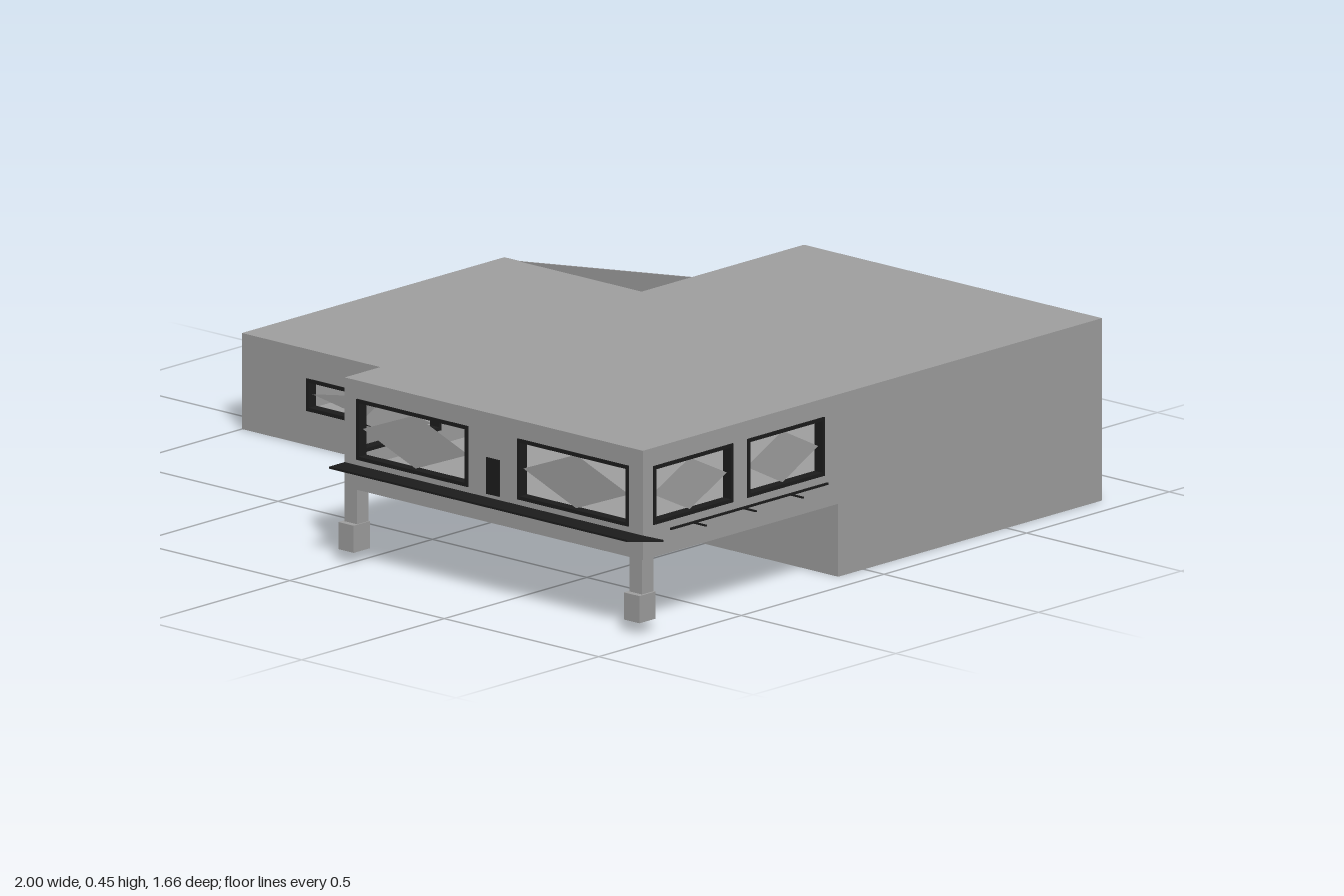
import * as THREE from 'three';

const grey = new THREE.MeshStandardMaterial({ color: 0xa0a0a0, side: THREE.DoubleSide });
grey.name = 'concreteGrey';
const dark = new THREE.MeshStandardMaterial({ color: 0x1c1c1c });
dark.name = 'frameBlack';

const T = 0.02; // wall thickness

export function createModel() {
  const root = new THREE.Group();
  root.name = 'house';

  const add = (parent, name, geo, mat = grey) => {
    const m = new THREE.Mesh(geo, mat);
    m.name = name;
    parent.add(m);
    return m;
  };
  // box given by its limits on each axis
  const box = (name, x0, x1, y0, y1, z0, z1, mat = grey, parent = root) => {
    const m = add(parent, name, new THREE.BoxGeometry(x1 - x0, y1 - y0, z1 - z0), mat);
    m.position.set((x0 + x1) / 2, (y0 + y1) / 2, (z0 + z1) / 2);
    return m;
  };
  const poly = pts => new THREE.Shape(pts.map(p => new THREE.Vector2(p[0], p[1])));
  const rect = (a, b, c, d) => [[a, c], [b, c], [b, d], [a, d]];
  const extrude = (shape, depth) => new THREE.ExtrudeGeometry(shape, { depth, bevelEnabled: false });

  // wall facing outwards with framed windows [u0, u1, y0, y1]; u is world x or z
  function wall(name, side, at, pts, windows = []) {
    const g = new THREE.Group();
    g.name = name;
    const s = side === 'right' || side === 'back' ? -1 : 1;
    g.rotation.y = { front: 0, back: Math.PI, right: Math.PI / 2, left: -Math.PI / 2 }[side];
    if (side === 'front' || side === 'back') g.position.z = at;
    else g.position.x = at;
    const shape = poly(pts.map(([u, v]) => [u * s, v]));
    for (const w of windows) {
      const [a, b] = [w[0] * s, w[1] * s].sort((p, q) => p - q);
      const [c, d] = [w[2], w[3]];
      shape.holes.push(poly(rect(a, b, c, d)));
      // dark frame lining the opening
      const f = 0.009;
      const frame = poly(rect(a, b, c, d));
      frame.holes.push(poly(rect(a + f, b - f, c + f, d - f)));
      add(g, 'windowFrame', extrude(frame, T + 0.006), dark).position.z = -T - 0.003;
      // diamond pane reaching the middle of each side
      const mu = (a + b) / 2, mv = (c + d) / 2;
      const pane = poly([[a + f, mv], [mu, c + f], [b - f, mv], [mu, d - f]]);
      add(g, 'diamondPane', new THREE.ShapeGeometry(pane)).position.z = -T / 2;
    }
    add(g, 'wallPanel', extrude(shape, T)).position.z = -T;
    root.add(g);
  }

  // main block with the storey that juts out to the front
  const X0 = -0.03, X1 = 0.935, ZB = -0.835, ZM = 0.09, ZF = 0.775, H = 0.45, U = 0.18;
  const profile = [[ZB, 0], [ZM, 0], [ZM, U], [ZF, U], [ZF, H], [ZB, H]];
  const sideWindows = [[0.14, 0.41, 0.26, 0.405], [0.46, 0.74, 0.26, 0.405]];
  wall('rightWall', 'right', X1, profile, sideWindows);
  wall('leftWall', 'left', X0, profile, [...sideWindows, [-0.35, -0.1, 0.3, 0.38]]);
  wall('upperFrontWall', 'front', ZF, rect(X0, X1, U, H),
    [[0.01, 0.37, 0.255, 0.405], [0.53, 0.89, 0.255, 0.405]]);
  wall('lowerFrontWall', 'front', ZM, rect(X0, X1, 0, U));
  wall('backWall', 'back', ZB, rect(X0, X1, 0, H));
  box('mainRoof', X0, X1, H - 0.015, H, ZB, ZF);
  box('base', X0, X1, 0, 0.01, ZB, ZM);

  // upper floor with joists beneath
  box('upperFloor', X0, X1, 0.21, 0.225, ZB + T, ZF - T);
  for (const x of [0.13, 0.45, 0.77]) box('longJoist', x - 0.012, x + 0.012, U, 0.212, ZM, ZF);
  for (let i = 0; i < 4; i++) {
    const z = 0.24 + i * 0.14;
    box('crossJoist', X0, X1, U, 0.212, z - 0.01, z + 0.01);
  }

  // low wing
  const WX = -1, WZ = 0.085, WH = 0.237;
  wall('wingFrontWall', 'front', WZ, rect(WX, X0, 0, WH), [[-0.79, -0.38, 0.085, 0.165]]);
  wall('wingEndWall', 'left', WX, rect(ZB, WZ, 0, WH), [[-0.51, -0.26, 0.09, 0.165]]);
  wall('wingBackWall', 'back', ZB, rect(WX, X0, 0, WH));
  box('wingRoof', WX, X0, WH - 0.015, WH, ZB, WZ);
  box('wingBase', WX, X0, 0, 0.01, ZB, WZ);

  // sloping parapet on the back edge of the wing
  add(root, 'slopedParapet', extrude(poly([[-0.95, WH], [X0, WH], [X0, 0.345]]), 0.004)).position.z = ZB;

  // doors
  box('terraceDoor', 0.43, 0.472, 0.25, 0.34, ZF - 0.002, ZF + 0.003, dark);
  box('groundDoor', 0.43, 0.475, 0.01, 0.14, ZM, ZM + 0.006);
  const roofDoor = box('roofDoor', -0.038, -0.034, WH, 0.33, -0.61, -0.56);
  roofDoor.rotation.y = -0.15;

  // legs and feet
  for (const [a, f] of [[-0.03, -0.037], [0.892, 0.888]]) {
    box('leg', a, a + 0.04, 0.09, U + 0.01, 0.735, ZF);
    box('foot', f, f + 0.05, 0.028, 0.095, 0.733, 0.79);
  }

  // dark ledge under the front windows, with a mitred corner
  const ledge = add(root, 'frontLedge', extrude(
    poly([[X0, -ZF], [X1, -ZF], [0.998, -0.77], [0.935, -0.83], [X0, -0.83]]), 0.005), dark);
  ledge.rotation.x = -Math.PI / 2;
  ledge.position.y = 0.236;
  box('sideLedge', X1, X1 + 0.005, 0.236, 0.241, 0.13, 0.68, dark);
  for (const z of [0.26, 0.425, 0.6]) box('ledgeBracket', X1, 0.98, 0.236, 0.24, z - 0.002, z + 0.002, dark);

  // outside stair: thin slabs along a path in x and y
  const slab = (name, x0, y0, x1, y1, z0, z1) => {
    const len = Math.hypot(x1 - x0, y1 - y0);
    const m = box(name, 0, len, 0, 0.008, z0, z1);
    m.position.x = (x0 + x1) / 2;
    m.position.y = (y0 + y1) / 2;
    m.rotation.z = Math.atan2(y1 - y0, x1 - x0);
  };
  slab('stairLanding', -0.26, 0.138, -0.18, 0.138, WZ, 0.23);
  slab('lowerFlight', -0.18, 0.138, -0.09, 0.035, 0.16, 0.23);
  slab('upperFlight', -0.18, 0.138, -0.1, 0.23, WZ, 0.155);
  slab('stairBridge', -0.1, 0.232, X0, 0.22, WZ, 0.155);

  return root;
}
